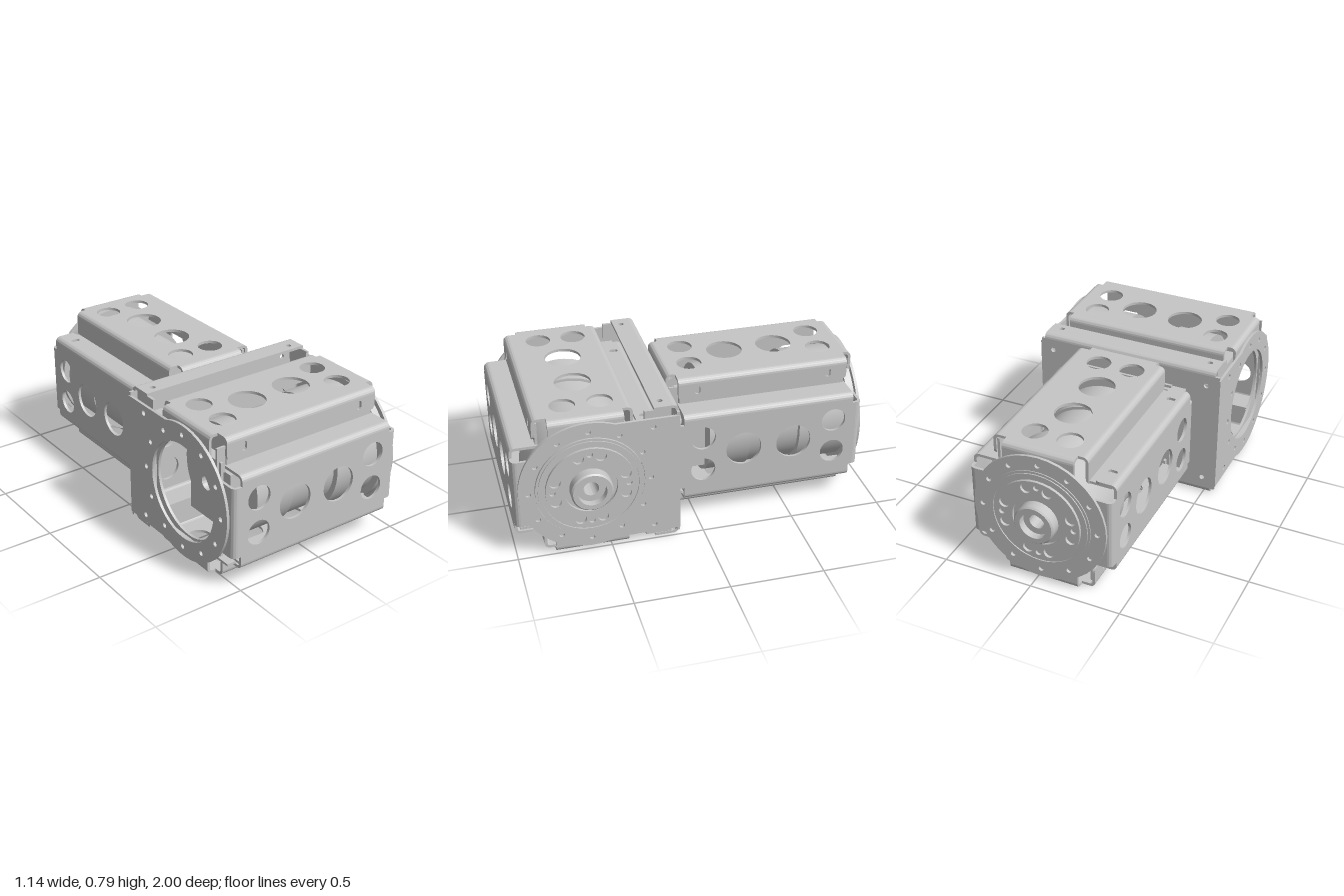
import * as THREE from 'three';
import { toCreasedNormals } from 'three/addons/utils/BufferGeometryUtils.js';

const metal = new THREE.MeshStandardMaterial({ color: 0xc6c6c6 });
metal.name = 'grey metal';
const T = 0.015, R = 0.03, H = 0.395, Q = Math.PI / 2;

function add(parent, name, geo, x = 0, y = 0, z = 0) {
  const m = new THREE.Mesh(geo, metal);
  m.name = name;
  m.position.set(x, y, z);
  parent.add(m);
  return m;
}
const box = (w, h, d) => new THREE.BoxGeometry(w, h, d);
const sheet = (shape, depth = T) => toCreasedNormals(
  new THREE.ExtrudeGeometry(shape, { depth, bevelEnabled: false, curveSegments: 20 }), 0.5);
// Lying sheet: shape y becomes z, top surface at y = 0
const lying = (shape) => sheet(shape).rotateX(Q);
// Sheet across the axis: shape x becomes z, outer surface at x = 0
const across = (shape, t = T) => sheet(shape, t).rotateY(-Q);

function poly(points) {
  return new THREE.Shape(points.map(p => new THREE.Vector2(p[0], p[1])));
}
const rect = (x0, y0, x1, y1) => poly([[x0, y0], [x1, y0], [x1, y1], [x0, y1]]);
function disc(r) {
  const s = new THREE.Shape();
  s.absarc(0, 0, r, 0, Math.PI * 2);
  return s;
}
function hole(shape, x, y, r) {
  const p = new THREE.Path();
  p.absarc(x, y, r, 0, Math.PI * 2, true);
  shape.holes.push(p);
}
function slot(shape, x, y, r, half) {
  const p = new THREE.Path();
  p.absarc(x, y + half, r, 0, Math.PI, false);
  p.absarc(x, y - half, r, Math.PI, Math.PI * 2, false);
  shape.holes.push(p);
}
function boltCircle(shape, r, size, count = 12) {
  for (let i = 0; i < count; i++) {
    const a = i * Math.PI * 2 / count;
    hole(shape, Math.cos(a) * r, Math.sin(a) * r, size);
  }
}
// Quarter-round sheet bend running along z, curving from +y to +x
function bend(length) {
  const s = new THREE.Shape();
  s.absarc(0, 0, R, 0, Q, false);
  s.absarc(0, 0, R - T, Q, 0, true);
  return sheet(s, length).translate(0, 0, -length / 2);
}

// One of the four folded panels of a housing, facing up
function panel() {
  const g = new THREE.Group();
  const z0 = -0.215, z1 = 0.245, c0 = -0.19, c1 = 0.2;
  const face = poly([[-0.47, z0], [0.47, z0], [0.47, c0], [0.49, c0], [0.49, c1], [0.47, c1],
    [0.47, z1], [-0.47, z1], [-0.47, c1], [-0.49, c1], [-0.49, c0], [-0.47, c0]]);
  for (const s of [-1, 1]) {
    hole(face, s * 0.14, 0, 0.097);
    for (const v of [-0.097, 0.097]) hole(face, s * 0.365, v, 0.067);
  }
  add(g, 'panelFace', lying(face), 0, H, 0);

  // Bends on the long edges and the ends
  add(g, 'panelBend', bend(0.94).rotateY(-Q), 0, H - R, z1);
  add(g, 'panelBend', bend(0.94).rotateY(Q), 0, H - R, z0);
  for (const s of [-1, 1]) {
    add(g, 'endBend', bend(c1 - c0).rotateY(s > 0 ? 0 : Math.PI), s * 0.49, H - R, (c0 + c1) / 2);
    add(g, 'endFlange', box(T, 0.09, c1 - c0), s * (0.52 - T / 2), H - R - 0.045, (c0 + c1) / 2);
  }
  add(g, 'cornerTab', box(0.05, 0.14, 0.012), -0.493, 0.28, 0.254);

  // Slotted flange with rounded lower corners
  const f = new THREE.Shape();
  f.moveTo(-0.47, H - R);
  f.lineTo(-0.47, 0.305);
  f.quadraticCurveTo(-0.47, 0.275, -0.44, 0.275);
  f.lineTo(0.44, 0.275);
  f.quadraticCurveTo(0.47, 0.275, 0.47, 0.305);
  f.lineTo(0.47, H - R);
  for (const s of [-1, 1]) slot(f, s * 0.365, 0.325, 0.014, 0.011);
  add(g, 'slottedFlange', sheet(f), 0, 0, 0.275 - T);

  // Lip and the tongue tucked under the neighbouring flange
  add(g, 'lip', box(0.94, 0.12, T), 0, 0.305, -0.245 + T / 2);
  add(g, 'tongue', box(0.92, 0.014, 0.135), 0, 0.252, -0.2975);
  return g;
}

// Hollow-shaft drive inside the housing, with its output flange
function drive() {
  const g = new THREE.Group();
  g.name = 'drive';
  const profile = [[0.04, -0.3], [0.3, -0.3], [0.3, -0.07], [0.285, -0.07], [0.285, 0.205],
    [0.315, 0.205], [0.315, 0.475], [0.352, 0.475], [0.352, 0.515], [0.285, 0.515],
    [0.285, 0.54], [0.11, 0.54], [0.11, 0.592], [0.102, 0.6], [0.075, 0.6], [0.075, 0.56],
    [0.04, 0.56], [0.04, -0.3]];
  const body = new THREE.LatheGeometry(profile.map(p => new THREE.Vector2(p[0], p[1])), 64);
  add(g, 'driveBody', toCreasedNormals(body.rotateZ(-Q), 0.5));
  const encoder = rect(-0.135, -0.2, 0.2, 0.135);
  hole(encoder, 0, 0, 0.04);
  add(g, 'encoderBlock', across(encoder, 0.09), -0.3);

  const ring = disc(0.235);
  hole(ring, 0, 0, 0.14);
  for (let i = 0; i < 4; i++) {
    for (const d of [-0.31, 0.31]) {
      const a = i * Q + d;
      hole(ring, Math.cos(a) * 0.193, Math.sin(a) * 0.193, 0.029);
    }
    hole(ring, Math.cos(i * Q) * 0.2, Math.sin(i * Q) * 0.2, 0.016);
  }
  add(g, 'outputRing', across(ring), 0.555);
  const seal = disc(0.272);
  hole(seal, 0, 0, 0.255);
  add(g, 'sealRing', across(seal, 0.006), 0.546);
  return g;
}

// Housing along x: four panels, an open end ring and the drive facing +x
function unit(name) {
  const g = new THREE.Group();
  g.name = name;
  for (let i = 0; i < 4; i++) {
    const p = panel();
    p.name = ['topPanel', 'frontPanel', 'bottomPanel', 'backPanel'][i];
    p.rotation.x = i * Q;
    g.add(p);
  }
  const s = rect(-0.275, -0.275, 0.275, 0.275);
  hole(s, 0, 0, 0.262);
  add(g, 'endRing', across(s), -0.49);
  g.add(drive());
  return g;
}

// Bracket joining the front unit to the rear one
function bracket() {
  const g = new THREE.Group();
  g.name = 'bracket';
  // Side plates: a disc run out into a square end at the back
  for (const [x, bore] of [[0.535, 0.288], [-0.525, 0.265]]) {
    const s = new THREE.Shape();
    const a = Math.asin(0.345 / 0.372);
    s.moveTo(-0.475, 0.345);
    s.lineTo(-0.475, -0.345);
    s.absarc(0, 0, 0.372, Math.PI + a, Math.PI * 3 - a, false);
    hole(s, 0, 0, bore);
    boltCircle(s, 0.32, 0.014);
    for (const v of [-0.3, 0.3]) hole(s, -0.335, v, 0.015);
    add(g, 'sidePlate', across(s), x);
  }
  const base = rect(-0.535, -0.365, 0.53, 0.365);
  for (const u of [-0.46, 0.46]) for (const v of [-0.3, 0.3]) hole(base, u, v, 0.014);
  add(g, 'backPlate', sheet(base), 0, 0, -0.475);
  for (const turn of [0, Math.PI]) {
    const edge = new THREE.Group();
    edge.name = turn ? 'lowerEdge' : 'upperEdge';
    edge.rotation.z = turn;
    add(edge, 'edgeBend', bend(1.02).rotateY(Q), 0, H - R, -0.445);
    const f = rect(-0.51, -0.445, 0.51, -0.345);
    for (const u of [-0.445, 0.445]) hole(f, u, -0.39, 0.015);
    add(edge, 'edgeFlange', lying(f), 0, H, 0);
    for (const s of [-1, 1]) add(edge, 'edgeLug', box(T, 0.09, 0.14), s * 0.5, 0.335, -0.365);
    g.add(edge);
  }
  return g;
}

export function createModel() {
  const model = new THREE.Group();
  model.name = 'jointModule';

  const front = unit('frontUnit');
  front.add(bracket());
  front.position.set(-0.03, H, 0.605);
  model.add(front);

  const rear = unit('rearUnit');
  const plate = disc(0.368);
  hole(plate, 0, 0, 0.283);
  boltCircle(plate, 0.32, 0.014);
  add(rear, 'discPlate', across(plate), 0.535);
  rear.rotation.y = Q;
  rear.position.set(-0.03, H, -0.4);
  model.add(rear);
  return model;
}
